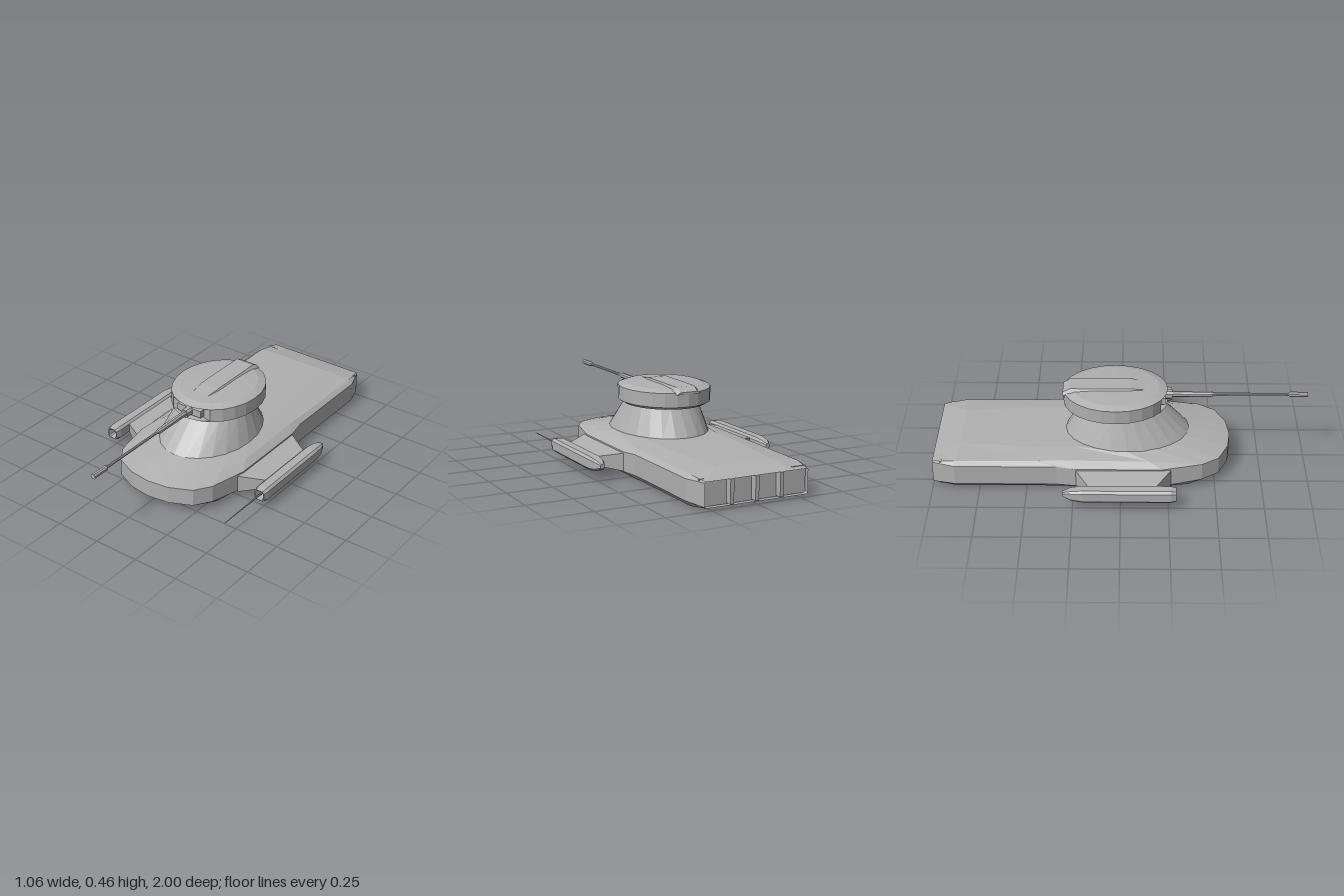
import * as THREE from 'three';

const grey = new THREE.MeshStandardMaterial({ color: 0xb0b0b0, flatShading: true, side: THREE.DoubleSide });
grey.name = 'armour grey';

// Skin a list of closed rings ([x, y, z] points, counter-clockwise seen from the first ring)
function loft(rings, capFirst = false, capLast = false) {
  const pos = [];
  const tri = (a, b, c) => pos.push(...a, ...b, ...c);
  const n = rings[0].length;
  for (let k = 0; k < rings.length - 1; k++) {
    const a = rings[k], b = rings[k + 1];
    for (let i = 0; i < n; i++) {
      const j = (i + 1) % n;
      tri(a[i], b[i], a[j]);
      tri(a[j], b[i], b[j]);
    }
  }
  const last = rings[rings.length - 1];
  for (let i = 1; i < n - 1; i++) {
    if (capFirst) tri(rings[0][0], rings[0][i], rings[0][i + 1]);
    if (capLast) tri(last[0], last[i + 1], last[i]);
  }
  const g = new THREE.BufferGeometry();
  g.setAttribute('position', new THREE.Float32BufferAttribute(pos, 3));
  g.computeVertexNormals();
  return g;
}

// Horizontal ellipse ring
function ellipse(y, rx, rz, cz, n = 24) {
  return Array.from({ length: n }, (_, i) => {
    const t = (i / n) * Math.PI * 2;
    return [Math.sin(t) * rx, y, cz + Math.cos(t) * rz];
  });
}

// Chamfered rectangle ring facing z
function octagon(cx, cy, z, w, h, c = 0.4) {
  const a = w * (1 - c), b = h * (1 - c);
  return [[w, -b], [w, b], [a, h], [-a, h], [-w, b], [-w, -b], [-a, -h], [a, -h]]
    .map(([x, y]) => [cx + x, cy + y, z]);
}

export function createModel() {
  const model = new THREE.Group();
  const add = (name, geometry, x = 0, y = 0, z = 0) => {
    const m = new THREE.Mesh(geometry, grey);
    m.name = name;
    m.position.set(x, y, z);
    model.add(m);
    return m;
  };

  // Hull: each row is bottom, lower rim, upper rim, shoulder and roof edge, bow to stern
  const half = [
    [[0, 0, 0.5], [0, 0.045, 0.59], [0, 0.14, 0.59], [0, 0.163, 0.48], [0, 0.185, 0.37]],
    [[0.11, 0, 0.49], [0.12, 0.045, 0.575], [0.12, 0.14, 0.575], [0.105, 0.163, 0.46], [0.09, 0.185, 0.35]],
    [[0.22, 0, 0.44], [0.24, 0.045, 0.52], [0.24, 0.14, 0.52], [0.205, 0.163, 0.395], [0.17, 0.185, 0.28]],
    [[0.28, 0, 0.36], [0.3, 0.045, 0.43], [0.3, 0.14, 0.43], [0.265, 0.163, 0.3], [0.225, 0.185, 0.18]],
    [[0.305, 0, 0.2], [0.345, 0.03, 0.22], [0.345, 0.135, 0.22], [0.31, 0.163, 0.15], [0.25, 0.185, 0.03]],
    [[0.305, 0, -0.24], [0.345, 0.03, -0.24], [0.345, 0.135, -0.24], [0.305, 0.165, -0.27], [0.2, 0.183, -0.25]],
    [[0.3, 0, -0.4], [0.33, 0.03, -0.34], [0.33, 0.14, -0.34], [0.305, 0.162, -0.44], [0.2, 0.18, -0.45]],
    [[0.3, 0, -0.88], [0.33, 0.03, -0.88], [0.33, 0.14, -0.88], [0.305, 0.158, -0.88], [0.16, 0.177, -0.86]],
    [[0.28, 0.015, -1], [0.29, 0.02, -1], [0.29, 0.14, -1], [0.285, 0.145, -1], [0.2, 0.145, -1]],
  ];
  add('hull', loft(half.map((row) => [
    ...row, ...row.slice().reverse().map(([x, y, z]) => [-x, y, z]),
  ])));

  // Recessed stern vents with dividers
  add('ventBack', new THREE.BoxGeometry(0.6, 0.14, 0.01), 0, 0.082, -0.955);
  for (const x of [-0.14, 0, 0.14]) {
    add('ventDivider', new THREE.BoxGeometry(0.02, 0.126, 0.045), x, 0.081, -0.977);
  }

  // Sloped turret pedestal
  add('pedestal', loft([ellipse(0.335, 0.195, 0.215, 0.005), ellipse(0.183, 0.25, 0.335, 0.035)]));

  // Turret disc, with the front of its wall pressed in to form the gun slot
  const press = (ring) => ring.map(([x, y, z]) =>
    Math.abs(x) < 0.09 && z > 0 ? [x, y, 0.2] : [x, y, z]);
  const wall = (y) => ellipse(y, 0.24, 0.28, -0.03);
  add('turret', loft([
    ellipse(0.447, 0.1, 0.12, -0.03), ellipse(0.441, 0.2, 0.235, -0.03), wall(0.427),
    press(wall(0.423)), press(wall(0.358)),
    wall(0.352), ellipse(0.336, 0.215, 0.25, -0.03),
  ], true, true));

  // Raised strip along the turret roof
  const strip = (z, y, w, base) => [[w + 0.02, base, z], [w, y, z], [-w, y, z], [-w - 0.02, base, z]];
  add('roofStrip', loft([
    strip(0.2, 0.436, 0.04, 0.42), strip(0.05, 0.455, 0.055, 0.43),
    strip(-0.27, 0.455, 0.055, 0.43), strip(-0.312, 0.432, 0.05, 0.42),
  ], true, true));

  // Main gun: mantlet, collar and stepped barrel
  add('mantlet', new THREE.BoxGeometry(0.15, 0.04, 0.04), 0, 0.39, 0.215);
  add('gunCollar', loft([octagon(0, 0.39, 0.275, 0.022, 0.022, 0.5), octagon(0, 0.39, 0.2, 0.024, 0.024, 0.5)], true));
  const barrel = [
    [1, 0.008], [1, 0.013], [0.905, 0.013], [0.895, 0.007],
    [0.51, 0.007], [0.48, 0.014], [0.25, 0.015],
  ];
  add('barrel', loft(barrel.map(([z, r]) => octagon(0, 0.392, z, r, r, 0.55)), true, true));

  for (const side of [1, -1]) {
    const name = side > 0 ? 'left' : 'right';

    // Side wing tapering from hull to pod
    const rib = (x, y0, y1, zf, zb) => {
      const r = [[x, y0, zf], [x, y0, zb], [x, y1, zb], [x, y1, zf]];
      return r.map(([a, b, c]) => [a * side, b, c]);
    };
    const ribs = [rib(0.47, 0.06, 0.108, 0.18, -0.165), rib(0.34, 0.03, 0.128, 0.265, -0.24)];
    add(name + 'Wing', loft(side > 0 ? ribs : ribs.reverse()));

    // Pod with a funnel in its nose and a tapered tail
    const pod = [
      [0.25, 0.012, 0.012, 0.085], [0.29, 0.024, 0.026, 0.085], [0.29, 0.029, 0.03, 0.085],
      [0.26, 0.036, 0.036, 0.085], [-0.2, 0.036, 0.036, 0.085], [-0.26, 0.028, 0.028, 0.086],
      [-0.3, 0.012, 0.012, 0.088],
    ];
    add(name + 'Pod', loft(pod.map(([z, w, h, y]) => octagon(side * 0.495, y, z, w, h, 0.35)), true, true));
  }

  // Thin antenna gun in the left pod
  add('podNeedle', loft([
    octagon(0.493, 0.085, 0.59, 0.0015, 0.0015, 0.5), octagon(0.493, 0.085, 0.25, 0.005, 0.005, 0.5),
  ], true));

  return model;
}
